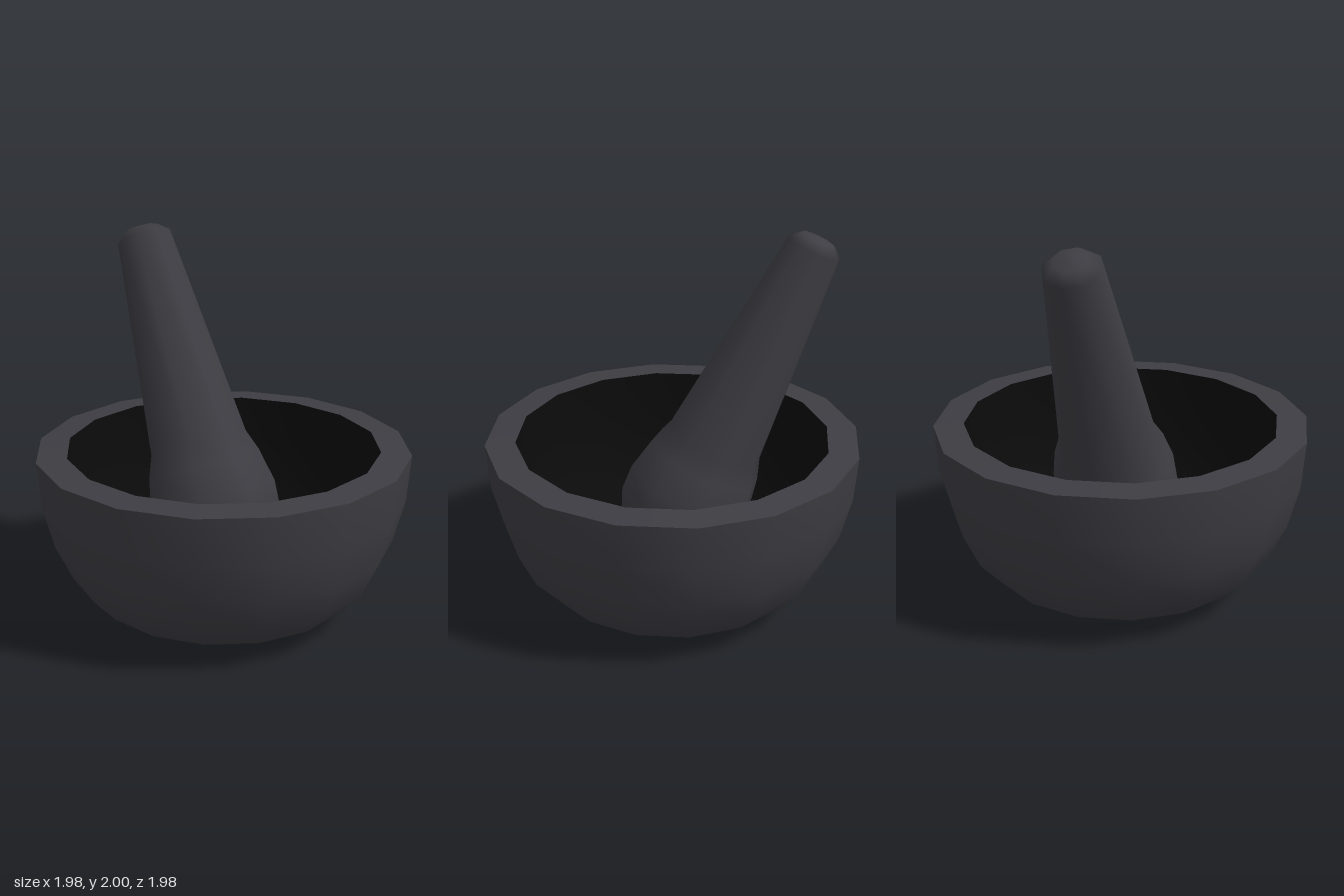
import * as THREE from 'three';

export function createModel() {
  const stone = new THREE.MeshStandardMaterial({ color: 0x3e3d43 });
  stone.name = 'dark stone';
  const hollow = new THREE.MeshStandardMaterial({ color: 0x0b0b0b });
  hollow.name = 'black interior';

  const group = new THREE.Group();
  group.name = 'mortarAndPestle';

  // Revolve a profile of [radius, height] pairs around y
  function turn(name, profile, sides, material) {
    const points = profile.map(([r, y]) => new THREE.Vector2(r, y));
    const mesh = new THREE.Mesh(new THREE.LatheGeometry(points, sides), material);
    mesh.name = name;
    group.add(mesh);
    return mesh;
  }

  // Bowl: rounded outside, sharp sloping rim, dark inside
  turn('bowlOutside', [
    [0, 0], [0.24, 0], [0.38, 0.01], [0.55, 0.04], [0.7, 0.11],
    [0.82, 0.24], [0.91, 0.43], [0.97, 0.66], [0.99, 0.91],
  ], 16, stone);
  turn('bowlRim', [[0.99, 0.91], [0.83, 0.92]], 16, stone);
  turn('bowlInside', [
    [0.83, 0.92], [0.82, 0.68], [0.77, 0.48], [0.69, 0.32],
    [0.57, 0.21], [0.4, 0.15], [0.2, 0.13], [0, 0.13],
  ], 16, hollow);

  // Pestle: bulbous head, tapering handle, domed tip, leaning to the back
  const pestle = turn('pestle', [
    [0, -1.88], [0.2, -1.81], [0.3, -1.71], [0.345, -1.6], [0.353, -1.46],
    [0.315, -1.28], [0.27, -1.16], [0.15, 0], [0.09, 0.05], [0, 0.06],
  ], 8, stone);
  pestle.position.set(0, 1.92, -0.715);
  pestle.rotation.x = THREE.MathUtils.degToRad(-25);

  return group;
}
